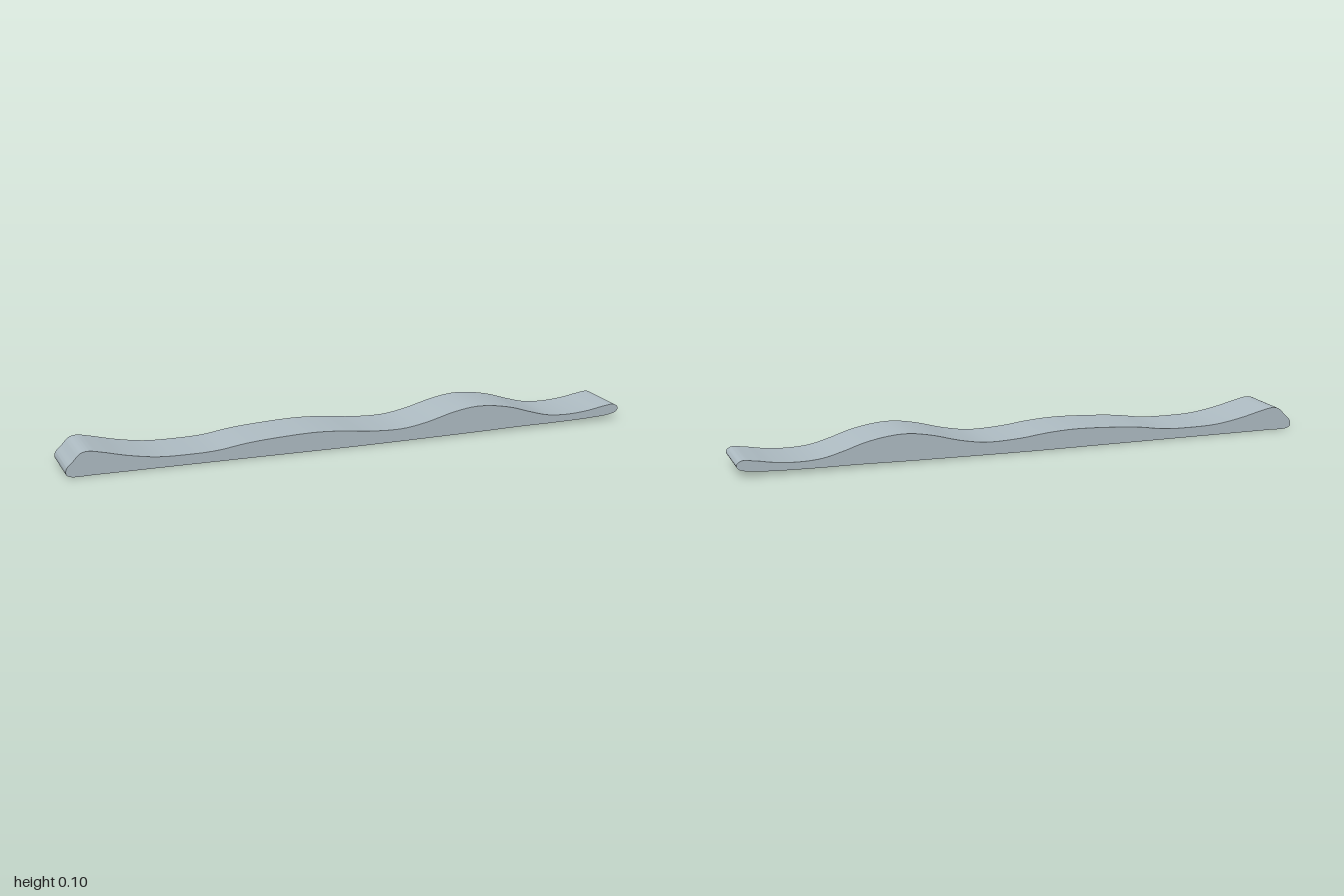
import * as THREE from 'three';
import { toCreasedNormals } from 'three/addons/utils/BufferGeometryUtils.js';

export function createModel() {
  const group = new THREE.Group();
  const paleSteel = new THREE.MeshStandardMaterial({ color: 0xb0bec5 });
  paleSteel.name = 'paleSteel';

  const width = 0.2;

  // wavy upper edge, from the blunt end to the thin rounded tip
  const upper = [
    [-0.997, 0.03], [-0.975, 0.053], [-0.95, 0.077], [-0.925, 0.082], [-0.88, 0.074],
    [-0.8, 0.055], [-0.7, 0.039], [-0.6, 0.036], [-0.5, 0.039], [-0.4, 0.053],
    [-0.3, 0.061], [-0.16, 0.066], [-0.06, 0.061], [0.04, 0.05], [0.16, 0.047],
    [0.25, 0.061], [0.35, 0.087], [0.43, 0.099], [0.5, 0.096], [0.58, 0.081],
    [0.65, 0.059], [0.72, 0.041], [0.8, 0.036], [0.88, 0.042], [0.94, 0.052],
    [0.985, 0.055], [1, 0.042], [0.995, 0.029], [0.97, 0.02],
  ];
  // almost flat underside, rising slightly towards the tip
  const lower = [
    [0.9, 0.014], [0.75, 0.01], [0.6, 0.009], [0.45, 0.006], [0.3, 0.004],
    [0, 0.001], [-0.3, 0.001], [-0.6, 0.001], [-0.9, 0.001], [-0.985, 0.002], [-1, 0.012],
  ];
  const points = [...upper, ...lower].map(([x, y]) => new THREE.Vector3(x, y, 0));
  const curve = new THREE.CatmullRomCurve3(points, true, 'centripetal');
  const outline = curve.getPoints(240).slice(0, -1)
    .map((p) => new THREE.Vector2(THREE.MathUtils.clamp(p.x, -1, 1), Math.max(p.y, 0)));

  // straight strip across the width, smooth along the waves with crisp side edges
  const strip = new THREE.ExtrudeGeometry(new THREE.Shape(outline), {
    depth: width, bevelEnabled: false, steps: 1,
  });
  strip.translate(0, 0, -width / 2);
  const mesh = new THREE.Mesh(toCreasedNormals(strip, 0.7), paleSteel);
  mesh.name = 'wavyStrip';
  group.add(mesh);
  return group;
}
